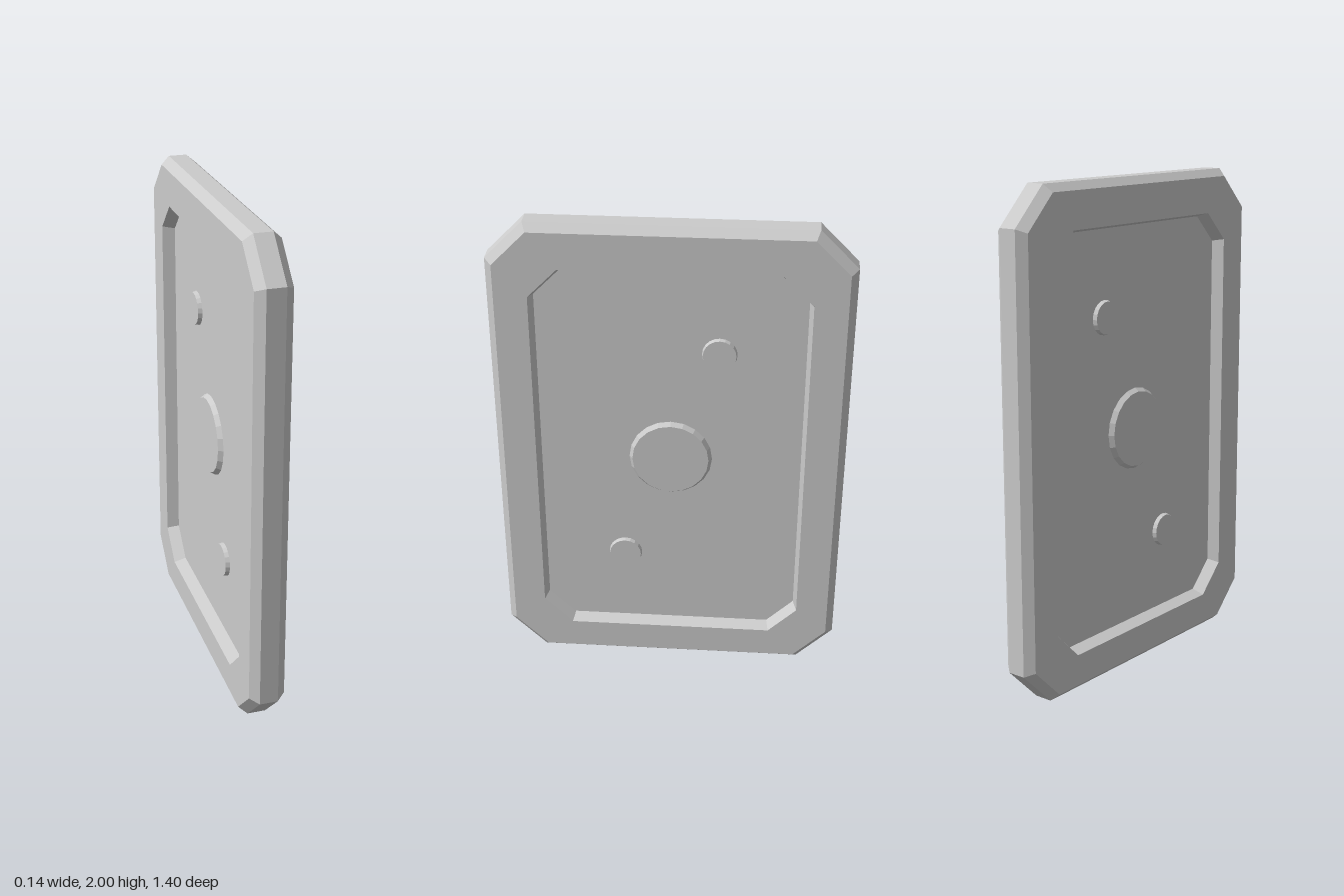
import * as THREE from 'three';

const material = new THREE.MeshStandardMaterial({ color: 0xcccccc, flatShading: true });
const FLOOR = 0.022; // half thickness of the recessed panel

// Rectangle with cut corners at depth x, counter-clockwise seen from +x
function cutRectangle(x, halfWidth, bottom, top, cut) {
  const w = halfWidth;
  return [
    [-w, bottom + cut], [-w, top - cut], [-w + cut, top], [w - cut, top],
    [w, top - cut], [w, bottom + cut], [w - cut, bottom], [-w + cut, bottom],
  ].map(([z, y]) => new THREE.Vector3(x, y, z));
}

// Skin a row of equal rings and close both ends
function skin(rings) {
  const points = [];
  const n = rings[0].length;
  for (let r = 0; r < rings.length - 1; r++) {
    const a = rings[r], b = rings[r + 1];
    for (let i = 0; i < n; i++) {
      const j = (i + 1) % n;
      points.push(a[i], b[i], b[j], a[i], b[j], a[j]);
    }
  }
  const first = rings[0], last = rings[rings.length - 1];
  for (let i = 1; i < n - 1; i++) {
    points.push(first[0], first[i], first[i + 1]);
    points.push(last[0], last[i + 1], last[i]);
  }
  const geometry = new THREE.BufferGeometry().setFromPoints(points);
  geometry.computeVertexNormals();
  return geometry;
}

// Low tapered disc standing on one side of the panel
function stud(name, side, y, z, baseRadius, topRadius, height, sides) {
  const sink = 0.004;
  const geometry = new THREE.CylinderGeometry(topRadius, baseRadius, height + sink, sides);
  const mesh = new THREE.Mesh(geometry, material);
  mesh.name = name;
  mesh.rotation.z = -side * Math.PI / 2;
  mesh.position.set(side * (FLOOR + (height - sink) / 2), y, z);
  return mesh;
}

export function createModel() {
  const model = new THREE.Group();
  model.name = 'recessedPlate';

  // Section from panel floor, up the recess wall, over the rim to the outer edge
  const section = [
    [FLOOR, 0.525, 0.175, 1.81, 0.11],
    [0.072, 0.54, 0.157, 1.825, 0.117],
    [0.072, 0.67, 0.03, 1.97, 0.135],
    [0.037, 0.70, 0, 2, 0.15],
  ];
  const half = section.map((s) => cutRectangle(...s));
  const mirrored = section.map(([x, ...rest]) => cutRectangle(-x, ...rest)).reverse();
  const plate = new THREE.Mesh(skin([...half, ...mirrored]), material);
  plate.name = 'framedPlate';
  model.add(plate);

  // The same three discs on both sides
  for (const side of [1, -1]) {
    const label = side > 0 ? 'left' : 'right';
    model.add(
      stud(label + 'CentreDisc', side, 0.99, 0, 0.17, 0.154, 0.019, 20),
      stud(label + 'UpperStud', side, 1.467, -0.19, 0.07, 0.065, 0.017, 20),
      stud(label + 'LowerStud', side, 0.512, 0.19, 0.07, 0.065, 0.017, 20),
    );
  }
  return model;
}
